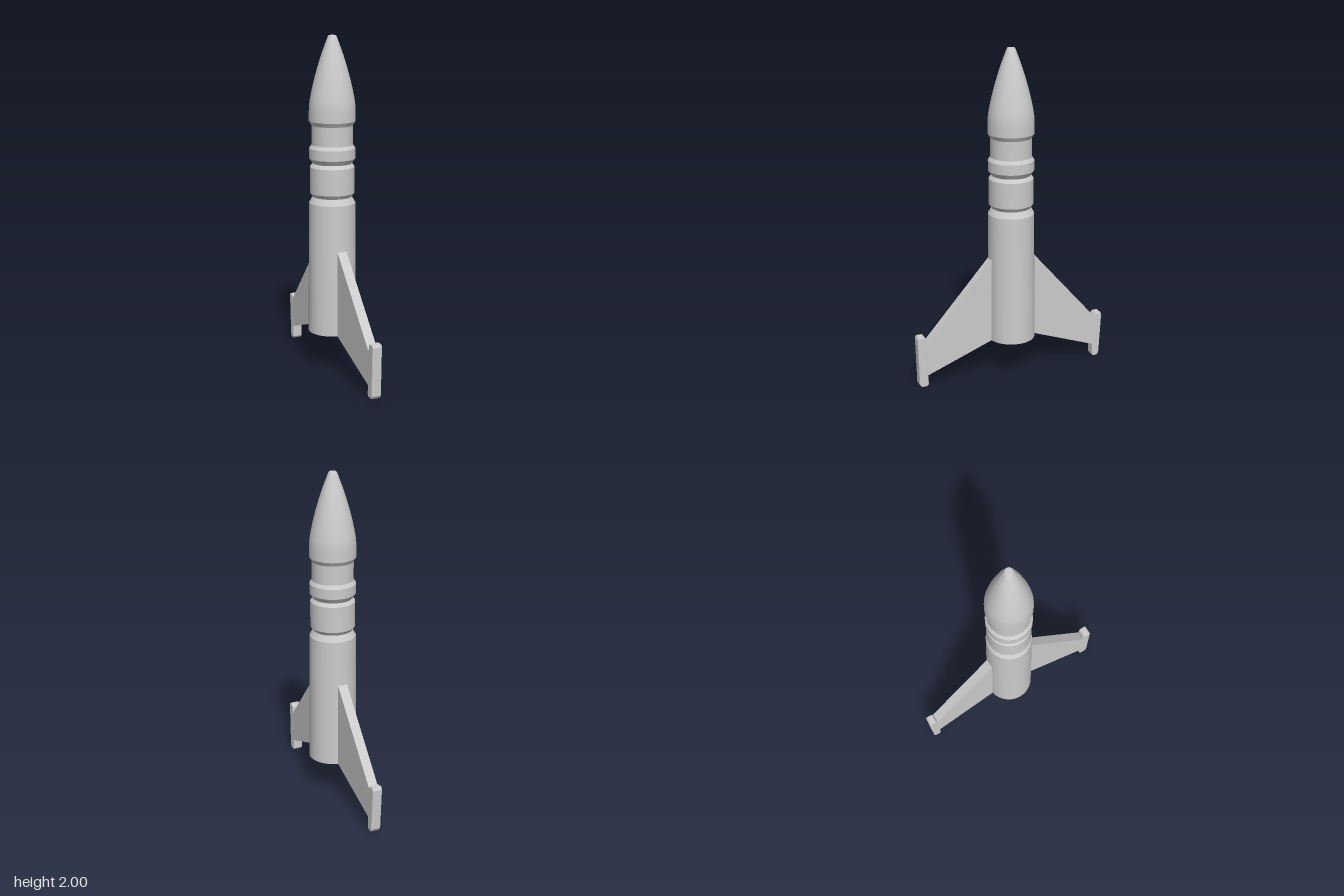
import * as THREE from 'three';
import { toCreasedNormals } from 'three/addons/utils/BufferGeometryUtils.js';

const material = new THREE.MeshStandardMaterial({ color: 0xcccccc });

// Surface of revolution from [radius, height] pairs, with sharp rims
function lathe(name, points) {
  const profile = points.map(([r, y]) => new THREE.Vector2(r, y));
  const mesh = new THREE.Mesh(toCreasedNormals(new THREE.LatheGeometry(profile, 64), 0.3), material);
  mesh.name = name;
  return mesh;
}

// Plate drawn as [z, y] pairs and given a thickness along x
function plate(name, outline, thickness, bevel = 0) {
  const shape = new THREE.Shape(outline.map(([z, y]) => new THREE.Vector2(z, y)));
  const depth = thickness - 2 * bevel;
  const geometry = new THREE.ExtrudeGeometry(shape, {
    depth, bevelEnabled: bevel > 0, bevelThickness: bevel,
    bevelSize: bevel, bevelOffset: -bevel, bevelSegments: 2,
  });
  geometry.translate(0, 0, -depth / 2);
  geometry.rotateY(-Math.PI / 2);
  const mesh = new THREE.Mesh(geometry, material);
  mesh.name = name;
  return mesh;
}

// Swept fin with an upright pad at its tip; side is +1 (front) or -1 (back)
function makeFin(name, side, padTop, webTop, webBottom) {
  const fin = new THREE.Group();
  fin.name = name;
  const flip = (points) => points.map(([z, y]) => [z * side, y]);
  fin.add(plate('finWeb', flip([
    [0.1, 0.246], [0.14, 0.23], [0.555, webBottom], [0.59, webBottom],
    [0.59, webTop], [0.555, webTop], [0.135, 0.75], [0.1, 0.75],
  ]), 0.058));
  const top = side > 0 ? 0.61 : 0.608;
  const low = side > 0 ? 0.603 : 0.594;
  fin.add(plate('finPad', flip([
    [0.555, 0], [low - 0.012, 0], [low, 0.018],
    [top, padTop - 0.015], [top - 0.008, padTop], [0.567, padTop],
    [0.557, padTop - 0.012], [0.553, webTop], [0.546, webBottom], [0.546, 0.012],
  ]), 0.06, 0.006));
  return fin;
}

export function createModel() {
  const model = new THREE.Group();
  model.name = 'rocket';

  // Body with grooves and stepped collars
  model.add(lathe('body', [
    [0, 0.23], [0.144, 0.23], [0.137, 1.02], [0.116, 1.057], [0.132, 1.08],
    [0.132, 1.235], [0.116, 1.256], [0.136, 1.285], [0.136, 1.345],
    [0.122, 1.366], [0.122, 1.485], [0, 1.485],
  ]));

  // Ogive nose with a small flat end
  const curve = new THREE.SplineCurve([
    [0.137, 1.505], [0.136, 1.58], [0.129, 1.64], [0.105, 1.75], [0.067, 1.88], [0.026, 1.992],
  ].map(([r, y]) => new THREE.Vector2(r, y)));
  model.add(lathe('noseCone', [
    [0, 1.48], [0.122, 1.48],
    ...curve.getPoints(20).map((p) => [p.x, p.y]),
    [0.02, 2], [0, 2],
  ]));

  // Two opposing fins
  model.add(makeFin('frontFin', 1, 0.323, 0.272, 0.07));
  model.add(makeFin('backFin', -1, 0.293, 0.272, 0.08));
  return model;
}
